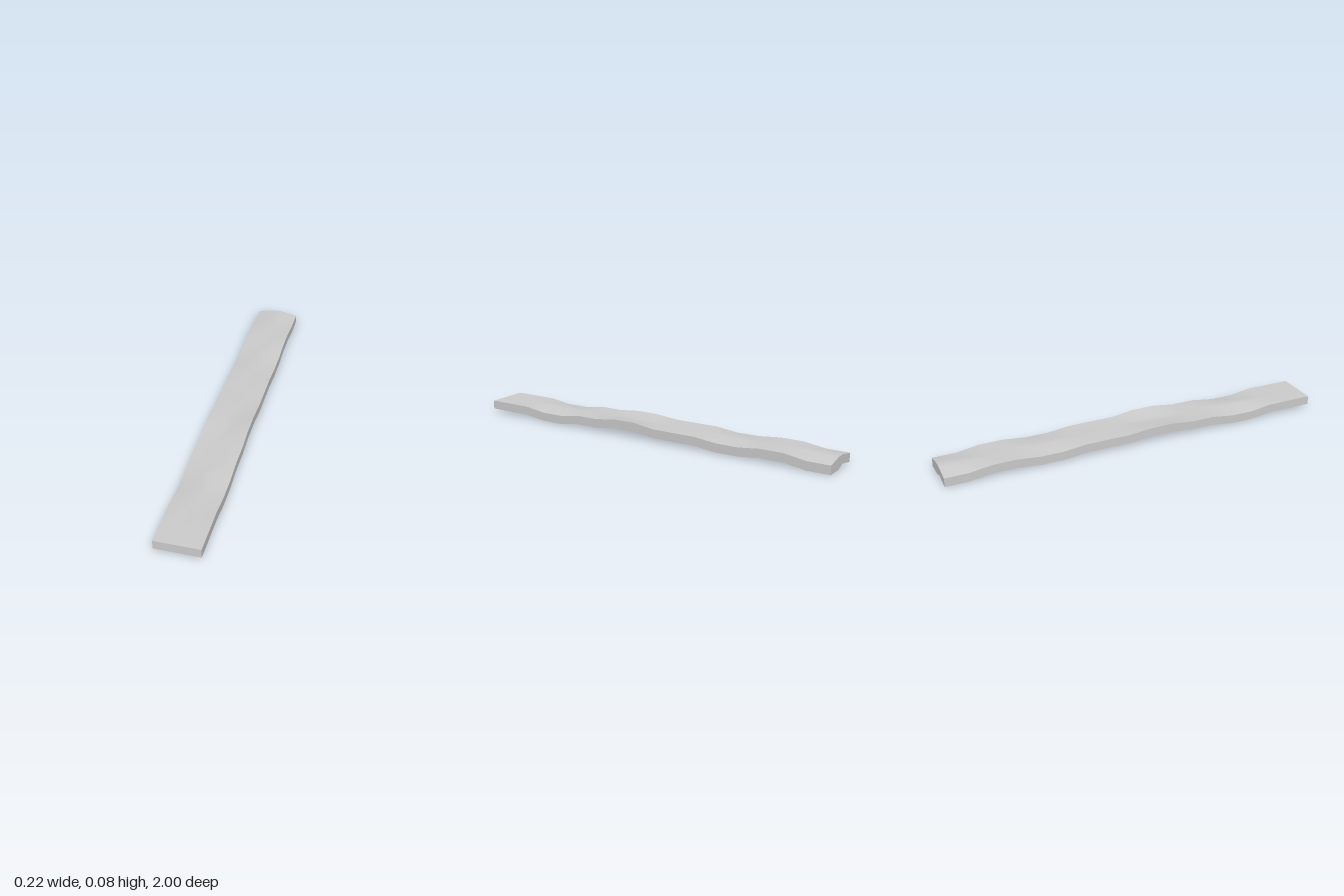
import * as THREE from 'three';

const ROWS = 17;
// Lift of each long edge at the cross rows, counted from the front end
const leftEdge = [0, 0, 0, -0.017, -0.017, 0, 0, 0.016, 0.016, 0, 0, 0, -0.013, -0.013, 0, 0, -0.018, -0.018];
const rightEdge = [0, 0, 0, -0.016, -0.016, 0, 0, 0.012, 0.011, 0, 0, 0, -0.013, -0.012, 0, 0, -0.016, -0.016];

export function createModel() {
  const group = new THREE.Group();
  group.name = 'warpedPlank';

  // Three strips across: the middle strip stays level, the outer ones bend with the edges
  const geometry = new THREE.BoxGeometry(0.22, 0.045, 2, 3, 1, ROWS);
  const pos = geometry.attributes.position;
  for (let i = 0; i < pos.count; i++) {
    const x = pos.getX(i), y = pos.getY(i);
    const row = Math.round((1 - pos.getZ(i)) * ROWS / 2);
    const outer = Math.abs(x) > 0.1;
    let lift = 0;
    if (outer) lift = (x > 0 ? leftEdge : rightEdge)[row];
    // Sagging underside corner at the back end
    else if (x > 0 && y < 0 && row === ROWS) lift = leftEdge[row];
    if (!outer) pos.setX(i, Math.sign(x) * 0.022);
    pos.setY(i, y + 0.0405 + lift);
  }
  geometry.computeVertexNormals();

  const plank = new THREE.Mesh(geometry, new THREE.MeshStandardMaterial({ color: 0xcccccc }));
  plank.name = 'plank';
  group.add(plank);
  return group;
}
